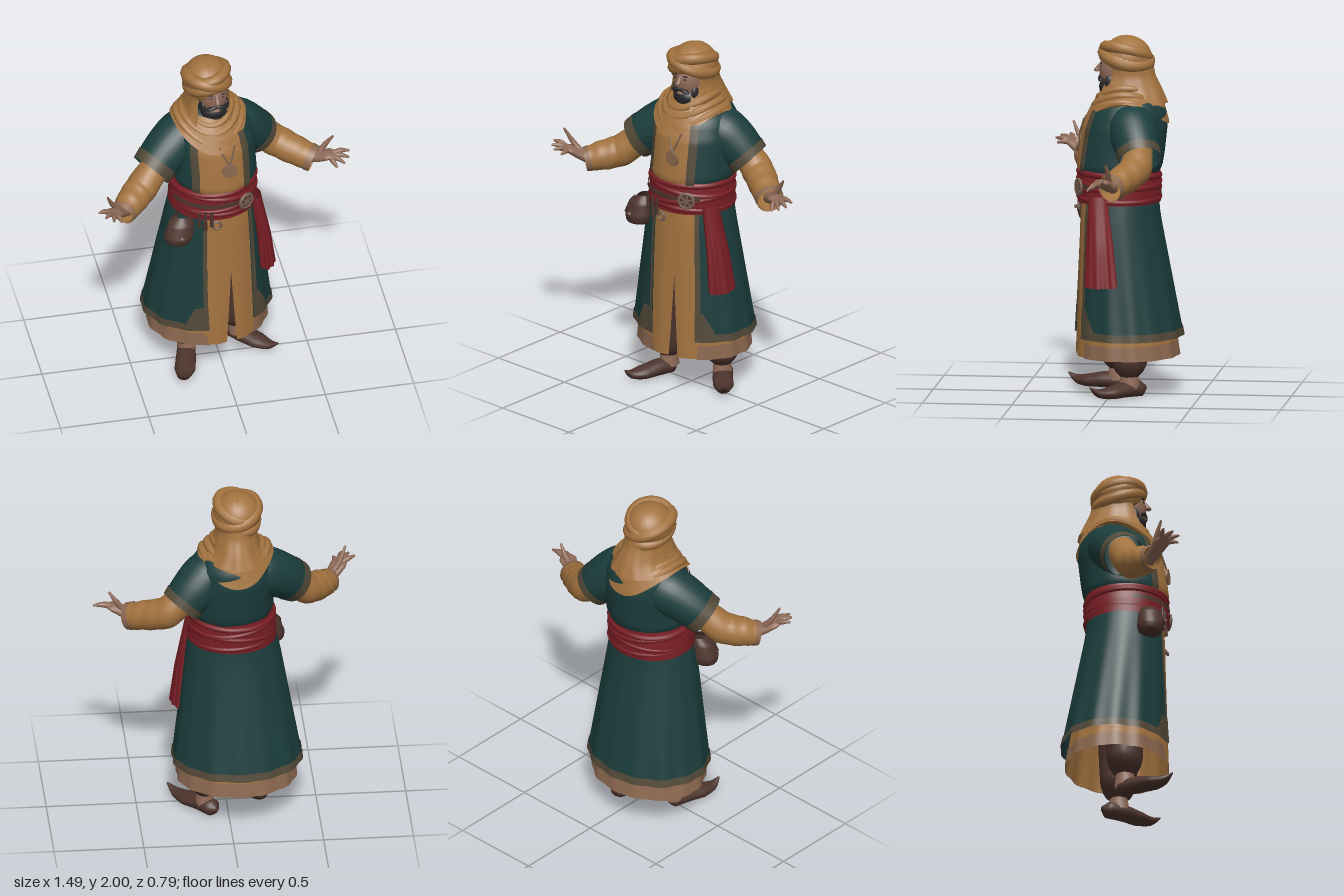
import * as THREE from 'three';

const mat = (name, color) => {
  const m = new THREE.MeshStandardMaterial({ color, side: THREE.DoubleSide });
  m.name = name;
  return m;
};
const TAU = Math.PI * 2;
const V = (p) => new THREE.Vector3(...p);
const lerp = THREE.MathUtils.lerp;

// Grid surface; rows run downward (or along a limb), columns run around
function grid(rows, cols, closed, fn) {
  const pos = [], idx = [], w = closed ? cols : cols + 1;
  for (let i = 0; i <= rows; i++) for (let j = 0; j < w; j++) pos.push(...fn(i / rows, j / cols));
  for (let i = 0; i < rows; i++) for (let j = 0; j < cols; j++) {
    const a = i * w + j, b = i * w + (j + 1) % w, c = a + w, d = b + w;
    idx.push(c, d, a, d, b, a);
  }
  const g = new THREE.BufferGeometry();
  g.setAttribute('position', new THREE.Float32BufferAttribute(pos, 3));
  g.setIndex(idx);
  g.computeVertexNormals();
  return g;
}

// Linear lookup in a profile of [y, cx, cz, rx, rz], listed top to bottom
function ringAt(profile, y) {
  let k = 0;
  while (k < profile.length - 2 && y < profile[k + 1][0]) k++;
  const a = profile[k], b = profile[k + 1], t = (a[0] - y) / (a[0] - b[0]);
  return a.map((v, i) => lerp(v, b[i], t));
}

// Cloth band of a profile; angle 0 faces +z. a0 and a1 are [top, bottom] angles
function band(profile, yTop, yBot, o = {}) {
  const { a0, a1, grow = 0, fold = 0, k = 14, dip = 0, rows = 14, cols = 84 } = o;
  return grid(rows, cols, !a0, (t, u) => {
    const y = lerp(yTop, yBot, t), [, cx, cz, rx, rz] = ringAt(profile, y);
    const a = a0 ? lerp(lerp(a0[0], a0[1], t), lerp(a1[0], a1[1], t), u) : u * TAU;
    const span = profile[0][0] - profile[profile.length - 1][0];
    const f = 1 + fold * ((profile[0][0] - y) / span) * (Math.cos(k * a) + 0.5 * Math.cos((k - 5) * a + 1));
    return [cx + (rx * f + grow) * Math.sin(a), y - dip * t * Math.cos(2 * a), cz + (rz * f + grow) * Math.cos(a)];
  });
}

// Swept limb with radii given as number or [width, height] per point
function limb(points, radii, o = {}) {
  const { t0 = 0, t1 = 1, grow = 0, wrinkle = 0, rows = 20, cols = 18 } = o;
  const curve = new THREE.CatmullRomCurve3(points.map(V));
  const up = new THREE.Vector3(0, 1, 0), last = radii.length - 1;
  return grid(rows, cols, true, (t, u) => {
    const s = lerp(t0, t1, t), k = Math.min(Math.floor(s * last), last - 1), f = s * last - k;
    const r = [0, 1].map((i) => lerp(radii[k][i] ?? radii[k], radii[k + 1][i] ?? radii[k + 1], f) + grow);
    const T = curve.getTangent(s), side = T.clone().cross(up).normalize(), top = side.clone().cross(T);
    const q = 1 + wrinkle * Math.sin(s * 26 + 2 * Math.sin(u * TAU));
    const p = curve.getPoint(s).addScaledVector(side, r[0] * q * Math.cos(u * TAU)).addScaledVector(top, r[1] * q * Math.sin(u * TAU));
    return [p.x, Math.max(p.y, 0.002), p.z];
  });
}

// Closed elliptical roll of cloth; tilts raise +x and +z, dip lowers front and back
function roll(y, cx, cz, rx, rz, r, tiltX = 0, tiltZ = 0, dip = 0) {
  const pts = Array.from({ length: 16 }, (_, i) => {
    const s = Math.sin(i / 16 * TAU), c = Math.cos(i / 16 * TAU);
    return new THREE.Vector3(cx + rx * s, y + tiltX * s + tiltZ * c - dip * (c * c - s * s), cz + rz * c);
  });
  return new THREE.TubeGeometry(new THREE.CatmullRomCurve3(pts, true), 64, r, 10, true);
}

export function createModel() {
  const root = new THREE.Group();
  const ochre = mat('ochre cloth', 0xa3733f), green = mat('dark green cloth', 0x1b3d3c), red = mat('red sash', 0x7a1f25);
  const brown = mat('dark brown leather', 0x4d342d), skin = mat('skin', 0x8e6a57), beard = mat('black hair', 0x27272a);
  const trim = mat('olive trim', 0x524938), hem = mat('taupe hem', 0x8d6950), metal = mat('old bronze', 0x785f50);
  const add = (name, geo, m, parent = root) => {
    const o = new THREE.Mesh(geo, m);
    o.name = name;
    parent.add(o);
    return o;
  };
  const ball = (name, m, p, s, parent = root) => {
    const o = add(name, new THREE.SphereGeometry(1, 28, 20), m, parent);
    o.position.set(...p);
    o.scale.set(...s);
    return o;
  };

  // Long open coat with trimmed edges and hem
  const coat = [[1.14, -0.03, -0.035, 0.235, 0.215], [1, -0.035, -0.035, 0.262, 0.228], [0.33, -0.055, -0.085, 0.36, 0.302]];
  const cloth = { fold: 0.013, k: 14 };
  const A = [0.76, 0.66], B = [TAU - 0.3, TAU - 0.12], shift = (a, d) => a.map((v) => v + d);
  add('coatSkirt', band(coat, 1.14, 0.33, { ...cloth, a0: A, a1: B, cols: 120 }), green);
  add('coatHem', band(coat, 0.372, 0.328, { ...cloth, a0: [A[1], A[1]], a1: [B[1], B[1]], grow: 0.005, cols: 120, rows: 3 }), trim);
  const edge = { ...cloth, grow: 0.005, cols: 8 };
  add('coatEdgeLeft', band(coat, 1.1, 0.33, { ...edge, a0: A, a1: shift(A, 0.1) }), trim);
  add('coatEdgeRight', band(coat, 1.1, 0.33, { ...edge, a0: shift(B, -0.07), a1: B }), trim);
  add('coatCornerLeft', band(coat, 0.5, 0.33, { ...edge, grow: 0.006, a0: [0.67, 0.66], a1: [0.82, 1.1] }), trim);
  add('coatCornerRight', band(coat, 0.48, 0.33, { ...edge, grow: 0.006, a0: [B[1] - 0.25, B[1] - 0.42], a1: [B[1] - 0.03, B[1]] }), trim);

  // Under tunic with a front slit
  const tunic = [[1.14, -0.03, -0.035, 0.225, 0.205], [1, -0.035, -0.035, 0.25, 0.215], [0.22, -0.052, -0.08, 0.332, 0.285]];
  add('tunicUpper', band(tunic, 1.14, 0.7, cloth), ochre);
  add('tunicLower', band(tunic, 0.7, 0.22, { ...cloth, a0: [0.27, 0.36], a1: [TAU + 0.27, TAU + 0.18], cols: 110 }), ochre);
  add('tunicHem', band(tunic, 0.3, 0.218, { ...cloth, a0: [0.75, 0.7], a1: [TAU - 0.2, TAU - 0.12], grow: 0.004, cols: 110, rows: 3 }), hem);

  // Trousers, ankles and curled slippers
  const legs = [
    { side: 'right', x: -0.195, z: -0.01, foot: [[-0.175, 0.05, -0.055], [-0.18, 0.045, -0.02], [-0.2, 0.045, 0.07], [-0.225, 0.036, 0.16], [-0.245, 0.04, 0.225], [-0.252, 0.075, 0.275]] },
    { side: 'left', x: 0.115, z: -0.11, foot: [[0.07, 0.05, -0.195], [0.09, 0.045, -0.165], [0.15, 0.045, -0.09], [0.22, 0.036, -0.02], [0.275, 0.04, 0.04], [0.32, 0.075, 0.085]] },
  ];
  for (const { side, x, z, foot } of legs) {
    const leg = [[0.72, x * 0.8, z, 0.11, 0.12], [0.3, x, z, 0.105, 0.105], [0.2, x, z, 0.105, 0.1], [0.15, x + 0.005, z, 0.085, 0.085], [0.115, x + 0.01, z, 0.05, 0.05]];
    add(side + 'Trouser', band(leg, 0.72, 0.115, { fold: 0.02, k: 9, rows: 24, cols: 36 }), brown);
    add(side + 'Ankle', band([[0.14, x + 0.012, z, 0.047, 0.047], [0.05, x + 0.015, z, 0.052, 0.06]], 0.14, 0.05, { cols: 24, rows: 3 }), skin);
    add(side + 'Slipper', limb(foot, [[0.012, 0.012], [0.05, 0.046], [0.056, 0.045], [0.058, 0.036], [0.034, 0.024], [0.004, 0.004]]), brown);
  }

  // Torso with ochre front and olive lapels
  const torso = [[1.7, -0.035, -0.09, 0.1, 0.11], [1.65, -0.035, -0.09, 0.18, 0.175], [1.59, -0.03, -0.085, 0.22, 0.21],
    [1.5, -0.025, -0.072, 0.24, 0.232], [1.35, -0.02, -0.052, 0.236, 0.236], [1.28, -0.02, -0.042, 0.24, 0.234], [1.23, -0.02, -0.035, 0.215, 0.215]];
  const chest = (a, b, grow) => band(torso, 1.6, 1.24, { a0: [a, a], a1: [b, b], grow, cols: 20, rows: 24 });
  add('coatTorso', band(torso, 1.7, 1.23, { fold: 0.006, k: 11, rows: 24 }), green);
  add('tunicFront', chest(-0.52, 0.58, 0.008), ochre);
  add('lapelRight', chest(-0.7, -0.5, 0.012), trim);
  add('lapelLeft', chest(0.54, 0.74, 0.012), trim);

  // Arms: short coat sleeves, long inner sleeves, open hands
  const arms = [
    { side: 'right', upper: [[-0.1, 1.5, -0.09], [-0.18, 1.505, -0.08], [-0.285, 1.445, -0.03], [-0.39, 1.36, 0.03]],
      lower: [[-0.31, 1.43, 0], [-0.45, 1.29, 0.08], [-0.53, 1.255, 0.16], [-0.595, 1.235, 0.235]], cuff: 0.064,
      palm: [[-0.56, 1.235, 0.2], [-0.61, 1.265, 0.25], [-0.65, 1.3, 0.295], [-0.675, 1.312, 0.325]],
      tips: [[-0.745, 1.335, 0.325], [-0.715, 1.33, 0.372], [-0.675, 1.32, 0.398], [-0.63, 1.3, 0.385]], thumb: [[-0.6, 1.265, 0.24], [-0.655, 1.335, 0.265], [-0.69, 1.415, 0.3]] },
    { side: 'left', upper: [[0.05, 1.5, -0.11], [0.11, 1.505, -0.12], [0.19, 1.44, -0.155], [0.27, 1.355, -0.185]],
      lower: [[0.22, 1.43, -0.17], [0.34, 1.315, -0.17], [0.45, 1.265, -0.11], [0.55, 1.23, -0.05]], cuff: 0.073,
      palm: [[0.52, 1.235, -0.07], [0.58, 1.255, -0.035], [0.625, 1.275, -0.015], [0.655, 1.278, 0]],
      tips: [[0.742, 1.285, -0.015], [0.735, 1.265, 0.022], [0.705, 1.25, 0.052], [0.66, 1.235, 0.062]], thumb: [[0.57, 1.26, -0.045], [0.615, 1.325, -0.05], [0.655, 1.38, -0.04]] },
  ];
  for (const { side, upper, lower, cuff, palm, tips, thumb } of arms) {
    const ru = [0.135, 0.142, 0.132, 0.114], rl = [0.08, 0.09, 0.084, cuff];
    add(side + 'CoatSleeve', limb(upper, ru, { cols: 28 }), green);
    add(side + 'CoatSleeveTrim', limb(upper, ru, { t0: 0.86, t1: 1, grow: 0.004, rows: 4, cols: 28 }), trim);
    add(side + 'InnerSleeve', limb(lower, rl, { wrinkle: 0.02, rows: 40, cols: 24 }), ochre);
    add(side + 'Cuff', limb(lower, rl, { t0: 0.9, t1: 1, grow: 0.004, rows: 4, cols: 24 }), hem);
    add(side + 'Palm', limb(palm, [0.034, [0.04, 0.028], [0.05, 0.023], [0.034, 0.01]], { rows: 14 }), skin);
    const wrist = V(palm[2]), mid = V(tips[1]).add(V(tips[2])).multiplyScalar(0.5);
    tips.forEach((tip, i) => {
      const base = wrist.clone().lerp(V(tip), 0.15), knuckle = wrist.clone().lerp(V(tip), 0.6).lerp(mid, -0.06);
      knuckle.y += 0.008;
      add(side + 'Finger' + (i + 1), limb([base.toArray(), knuckle.toArray(), tip], [0.017, 0.015, 0.006], { rows: 8, cols: 10 }), skin);
    });
    add(side + 'Thumb', limb(thumb, [0.02, 0.015, 0.006], { rows: 8, cols: 10 }), skin);
  }

  // Wrapped sash, belt and buckle
  const sash = [[1.26, -0.025, -0.035, 0.232, 0.228], [1.17, -0.028, -0.035, 0.244, 0.234], [1.08, -0.03, -0.035, 0.248, 0.232]];
  add('sash', band(sash, 1.26, 1.08), red);
  [[1.235, 0.008, 0.01], [1.2, -0.025, 0.012], [1.15, 0.022, -0.012], [1.108, -0.01, 0.004]].forEach(([y, tx, tz], i) =>
    add('sashFold' + (i + 1), roll(y, -0.027, -0.035, 0.23, 0.22, 0.019, tx, tz), red));
  add('belt', band(sash, 1.192, 1.163, { a0: [-1.2, -1.2], a1: [0.9, 0.9], grow: 0.009, rows: 2 }), brown);
  const buckle = new THREE.Group();
  buckle.name = 'buckle';
  buckle.position.set(0.12, 1.172, 0.174);
  buckle.rotation.y = 0.5;
  root.add(buckle);
  add('buckleBack', new THREE.CylinderGeometry(0.045, 0.045, 0.01, 28).rotateX(Math.PI / 2), brown, buckle);
  add('buckleRim', new THREE.TorusGeometry(0.042, 0.009, 8, 32), metal, buckle);
  for (let i = 0; i < 3; i++) add('buckleSpoke', new THREE.BoxGeometry(0.085, 0.011, 0.016).rotateZ(i * Math.PI / 3 + 0.3), metal, buckle);

  // Hanging sash end on the left hip
  const tail = [[1.13, 0.19, 0.055, 0.035, 0.055], [0.85, 0.235, 0.04, 0.045, 0.075], [0.63, 0.256, 0.03, 0.052, 0.087]];
  add('sashTail', band(tail, 1.13, 0.63, { fold: 0.08, k: 9, cols: 60 }), red);

  // Pouch and small tools on the belt
  const pouch = [[1.1, -0.235, 0.13, 0.035, 0.04], [1.06, -0.245, 0.14, 0.065, 0.06], [0.98, -0.258, 0.15, 0.082, 0.075], [0.94, -0.262, 0.15, 0.072, 0.065], [0.918, -0.262, 0.15, 0.005, 0.005]];
  add('pouch', band(pouch, 1.1, 0.918, { cols: 32, rows: 18 }), brown);
  add('pouchFlap', band(pouch, 1.09, 0.995, { a0: [-1.5, -0.9], a1: [1.5, 0.9], grow: 0.009, cols: 24 }), brown);
  ball('pouchButton', metal, [-0.255, 1.005, 0.236], [0.012, 0.012, 0.008]);
  [[-0.15, 0.09], [-0.115, 0.12], [-0.08, 0.1]].forEach(([x, h]) =>
    add('hangingTool', new THREE.CylinderGeometry(0.008, 0.011, h, 10).translate(x, 1.14 - h / 2, 0.195), brown));
  add('keyRing', new THREE.TorusGeometry(0.024, 0.007, 8, 24).translate(-0.05, 1.04, 0.195), metal);

  // Pendant on a cord
  for (const x of [-0.03, 0.06]) add('necklaceCord', new THREE.TubeGeometry(new THREE.CatmullRomCurve3([[x, 1.55, 0.15], [lerp(x, 0.025, 0.5), 1.49, 0.17], [0.025, 1.44, 0.185]].map(V)), 10, 0.005, 6), metal);
  add('pendant', new THREE.CylinderGeometry(0.044, 0.044, 0.014, 28).rotateX(Math.PI / 2).translate(0.025, 1.405, 0.188), hem);

  // Hood and draped scarf, smooth behind and folded in front
  const hood = [[1.9, -0.05, -0.08, 0.115, 0.13], [1.78, -0.047, -0.085, 0.113, 0.15], [1.7, -0.045, -0.09, 0.135, 0.185], [1.63, -0.045, -0.09, 0.185, 0.213]];
  add('hood', band(hood, 1.9, 1.63, { a0: [0.85, 0.6], a1: [TAU - 0.85, TAU - 0.6], fold: 0.015, k: 12 }), ochre);
  const cowl = [[1.7, -0.042, -0.085, 0.12, 0.15], [1.65, -0.045, -0.085, 0.175, 0.2], [1.58, -0.045, -0.072, 0.212, 0.24]];
  add('scarf', band(cowl, 1.7, 1.58, { dip: 0.065, fold: 0.01, k: 7 }), ochre);
  [[1.685, 0.118, 0.142, 0.02], [1.652, 0.152, 0.165, 0.03], [1.612, 0.182, 0.188, 0.045]].forEach(([y, rx, rz, dip], i) =>
    add('scarfFold' + (i + 1), roll(y, -0.042, -0.066, rx, rz, 0.023, 0.014 - i * 0.01, -0.012, dip), ochre));

  // Head with face and beard
  const head = new THREE.Group();
  head.name = 'head';
  head.position.set(-0.033, 1.8, -0.03);
  head.rotation.y = 0.08;
  root.add(head);
  ball('face', skin, [0, 0.01, 0], [0.085, 0.125, 0.107], head);
  add('nose', limb([[0, 0.05, 0.093], [0, 0.02, 0.112], [0, 0, 0.12], [0, -0.014, 0.095]], [0.008, 0.013, 0.018, 0.008], { rows: 10 }), skin, head);
  for (const s of [-1, 1]) {
    ball('eye', beard, [s * 0.031, 0.034, 0.097], [0.011, 0.004, 0.004], head);
    ball('eyebrow', beard, [s * 0.033, 0.052, 0.094], [0.019, 0.004, 0.006], head).rotation.z = s * 0.12;
    ball('moustache', beard, [s * 0.026, -0.034, 0.096], [0.034, 0.011, 0.016], head).rotation.z = -s * 0.3;
    ball('sideburn', beard, [s * 0.066, -0.052, 0.04], [0.018, 0.042, 0.036], head);
  }
  ball('beard', beard, [0, -0.084, 0.045], [0.078, 0.055, 0.062], head);
  ball('beardTip', beard, [0, -0.105, 0.062], [0.05, 0.038, 0.042], head);
  ball('lip', skin, [0, -0.052, 0.1], [0.02, 0.006, 0.012], head);

  // Turban: smooth dome with a crown seam and wraps sloping down to the back
  ball('turbanDome', ochre, [-0.055, 1.872, -0.075], [0.132, 0.128, 0.14]);
  add('turbanSeam', new THREE.TorusGeometry(0.126, 0.006, 8, 40, Math.PI).scale(1.05, 1, 1).rotateY(Math.PI / 2).translate(-0.055, 1.871, -0.075), ochre);
  [[1.85, 0.1, 0.12, 0.035, 0.018, 0.034], [1.882, 0.108, 0.124, 0.036, -0.03, 0.028], [1.908, 0.105, 0.118, 0.032, 0.03, 0.025]].forEach(([y, rx, rz, r, tx, tz], i) =>
    add('turbanWrap' + (i + 1), roll(y, -0.055, -0.072, rx, rz, r, tx, tz), ochre));
  return root;
}
